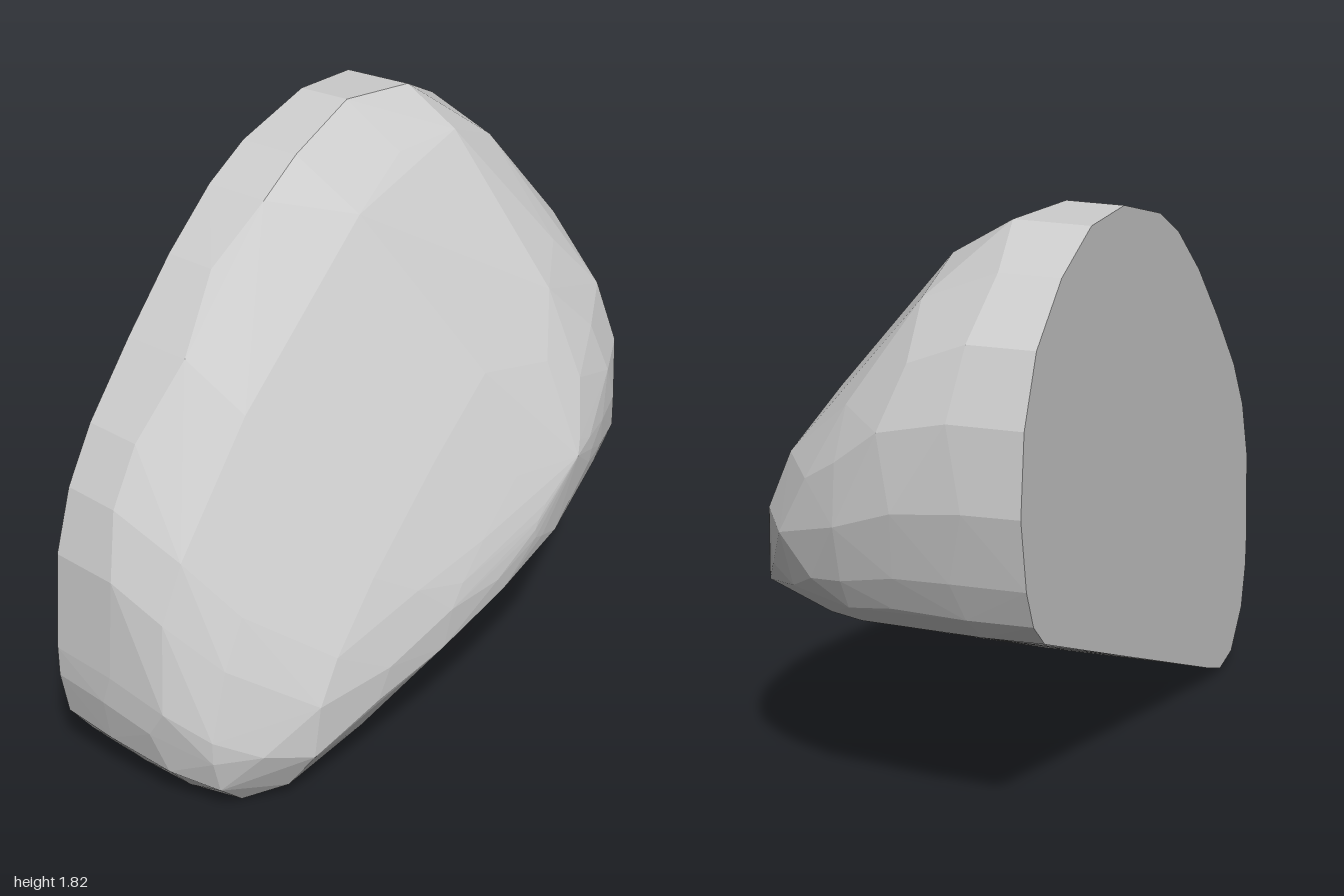
import * as THREE from 'three';
import { ConvexGeometry } from 'three/addons/geometries/ConvexGeometry.js';

// Widest outline of the stone, counter-clockwise seen from the front
const OUTLINE = [
  [-1, 0.4], [-1, 0.3], [-0.97, 0.15], [-0.87, 0.02], [-0.75, 0], [-0.6, 0.06], [-0.2, 0.245],
  [0.24, 0.435], [0.55, 0.575], [0.83, 0.7], [0.91, 0.78], [0.96, 0.9], [1, 1.12], [0.98, 1.36],
  [0.9, 1.56], [0.73, 1.72], [0.52, 1.82], [0.27, 1.83], [-0.03, 1.75], [-0.2, 1.66],
  [-0.4, 1.5], [-0.6, 1.3], [-0.79, 1.09], [-0.9, 0.92], [-0.97, 0.72],
];

// Extents of each slice from back to front: z, left, right, bottom, top
const SLICES = [
  [-0.5, -0.98, 0.99, 0.02, 1.82], [-0.3, -1, 1, 0.005, 1.82], [-0.1, -1, 0.995, 0, 1.7],
  [0.07, -0.95, 0.97, 0, 1.5], [0.18, -0.85, 0.935, 0.05, 1.37], [0.28, -0.7, 0.895, 0.17, 1.25],
  [0.36, -0.46, 0.82, 0.3, 1.11], [0.42, -0.22, 0.71, 0.4, 0.99], [0.46, -0.03, 0.58, 0.47, 0.88],
  [0.485, 0.14, 0.47, 0.58, 0.83],
];

// Lower front ridge, ending in the foremost point
const RIDGE = [
  [-0.72, 0.18, 0.27], [-0.5, 0.29, 0.345], [-0.25, 0.37, 0.41], [-0.03, 0.45, 0.45],
  [0.27, 0.56, 0.48], [0.72, 0.72, 0.415], [0.36, 0.79, 0.5],
];

// Slants the outline and flattens its upper left shoulder more towards the front,
// then fits it into the slice extents
function ring([z, left, right, bottom, top], index) {
  const slant = THREE.MathUtils.clamp(0.45 * (z + 0.2), 0, 0.25);
  const shaped = OUTLINE.map(([x, y]) => {
    const cut = 1.2 * slant * Math.max(0, y - x - 1.4);
    return [x + cut, y - cut + slant * x];
  });
  const heights = shaped.map((p) => p[1]);
  const low = Math.min(...heights);
  const high = Math.max(...heights);
  // Uneven depth on the rear slices breaks up straight seams
  const wobble = index === 1 || index === 2 ? 0.03 : 0;
  return shaped.map(([x, y], j) => new THREE.Vector3(
    THREE.MathUtils.mapLinear(x, -1, 1, left, right),
    THREE.MathUtils.mapLinear(y, low, high, bottom, top),
    z + wobble * Math.sin(j * 2.4 + index),
  ));
}

export function createModel() {
  const group = new THREE.Group();
  group.name = 'halfBoulder';

  // Front slices keep every other point, staggered, for larger uneven facets
  const points = SLICES.flatMap((slice, i) => ring(slice, i).filter((_, j) => i < 4 || (i + j) % 2));
  points.push(...RIDGE.map((p) => new THREE.Vector3(...p)));

  // Convex stone with a flat cut back
  const stone = new THREE.Mesh(
    new ConvexGeometry(points),
    new THREE.MeshStandardMaterial({ color: 0xcccccc, flatShading: true }),
  );
  stone.name = 'stone';
  group.add(stone);
  return group;
}
